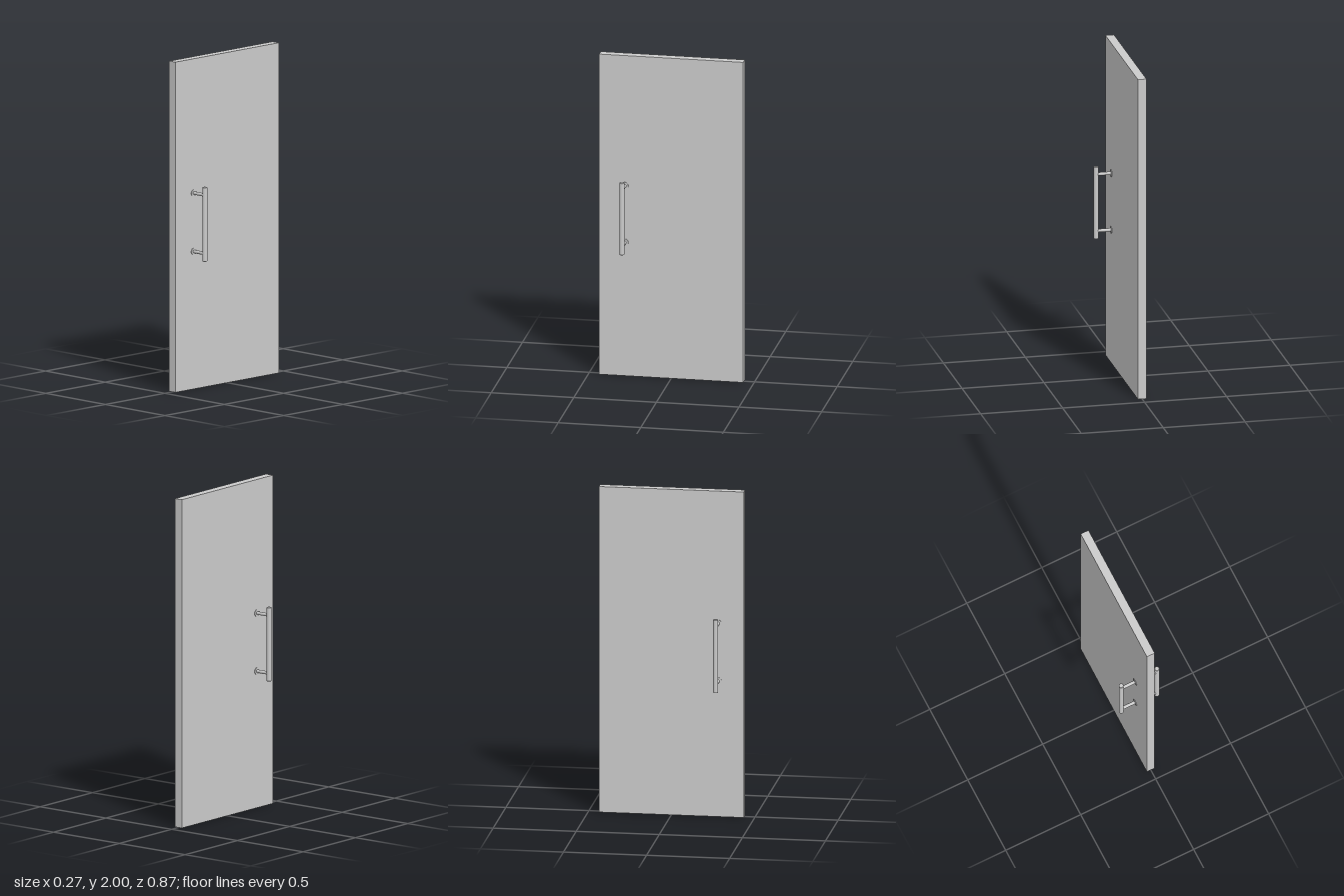
import * as THREE from 'three';

const HANDLE_Y = 1.01, HANDLE_Z = 0.281;
const PANEL_HALF = 0.026, BAR_X = 0.119;
const BAR_R = 0.0145, BAR_HALF = 0.225, BEVEL = 0.002;

export function createModel() {
  const group = new THREE.Group();
  const material = new THREE.MeshStandardMaterial({ color: 0xcccccc });
  const add = (parent, name, geometry, x, y, z) => {
    const mesh = new THREE.Mesh(geometry, material);
    mesh.name = name;
    mesh.position.set(x, y, z);
    parent.add(mesh);
    return mesh;
  };

  // Door leaf
  add(group, 'doorPanel', new THREE.BoxGeometry(PANEL_HALF * 2, 2, 0.872), 0, 1, 0);

  // Bar with a fine bevel at each end; hard edges come from doubled points
  const profile = [
    [0, -BAR_HALF], [BAR_R - BEVEL, -BAR_HALF], [BAR_R - BEVEL, -BAR_HALF],
    [BAR_R, -BAR_HALF + BEVEL], [BAR_R, -BAR_HALF + BEVEL],
    [BAR_R, BAR_HALF - BEVEL], [BAR_R, BAR_HALF - BEVEL],
    [BAR_R - BEVEL, BAR_HALF], [BAR_R - BEVEL, BAR_HALF], [0, BAR_HALF],
  ].map(([x, y]) => new THREE.Vector2(x, y));
  // Skip zero-length steps by lathing each straight run separately
  const barRuns = [];
  for (let i = 0; i < profile.length; i += 2) {
    barRuns.push(new THREE.LatheGeometry([profile[i], profile[i + 1]], 32));
  }

  // Post and flange point along x
  const postLength = BAR_X - PANEL_HALF;
  const post = new THREE.CylinderGeometry(0.01, 0.01, postLength, 24).rotateZ(Math.PI / 2);
  const flange = new THREE.CylinderGeometry(0.022, 0.022, 0.004, 32).rotateZ(Math.PI / 2);

  // One pull handle on each face of the door
  for (const side of [1, -1]) {
    const handle = new THREE.Group();
    handle.name = side > 0 ? 'leftHandle' : 'rightHandle';
    handle.position.set(0, HANDLE_Y, HANDLE_Z);
    group.add(handle);

    const bar = new THREE.Group();
    bar.name = 'handleBar';
    bar.position.x = side * BAR_X;
    handle.add(bar);
    barRuns.forEach((run, i) =>
      add(bar, ['bottomCap', 'bottomBevel', 'grip', 'topBevel', 'topCap'][i], run, 0, 0, 0));

    for (const y of [-0.177, 0.177]) {
      add(handle, 'handlePost', post, side * (PANEL_HALF + postLength / 2), y, 0);
      add(handle, 'handleFlange', flange, side * (PANEL_HALF + 0.002), y, 0);
    }
  }
  return group;
}
